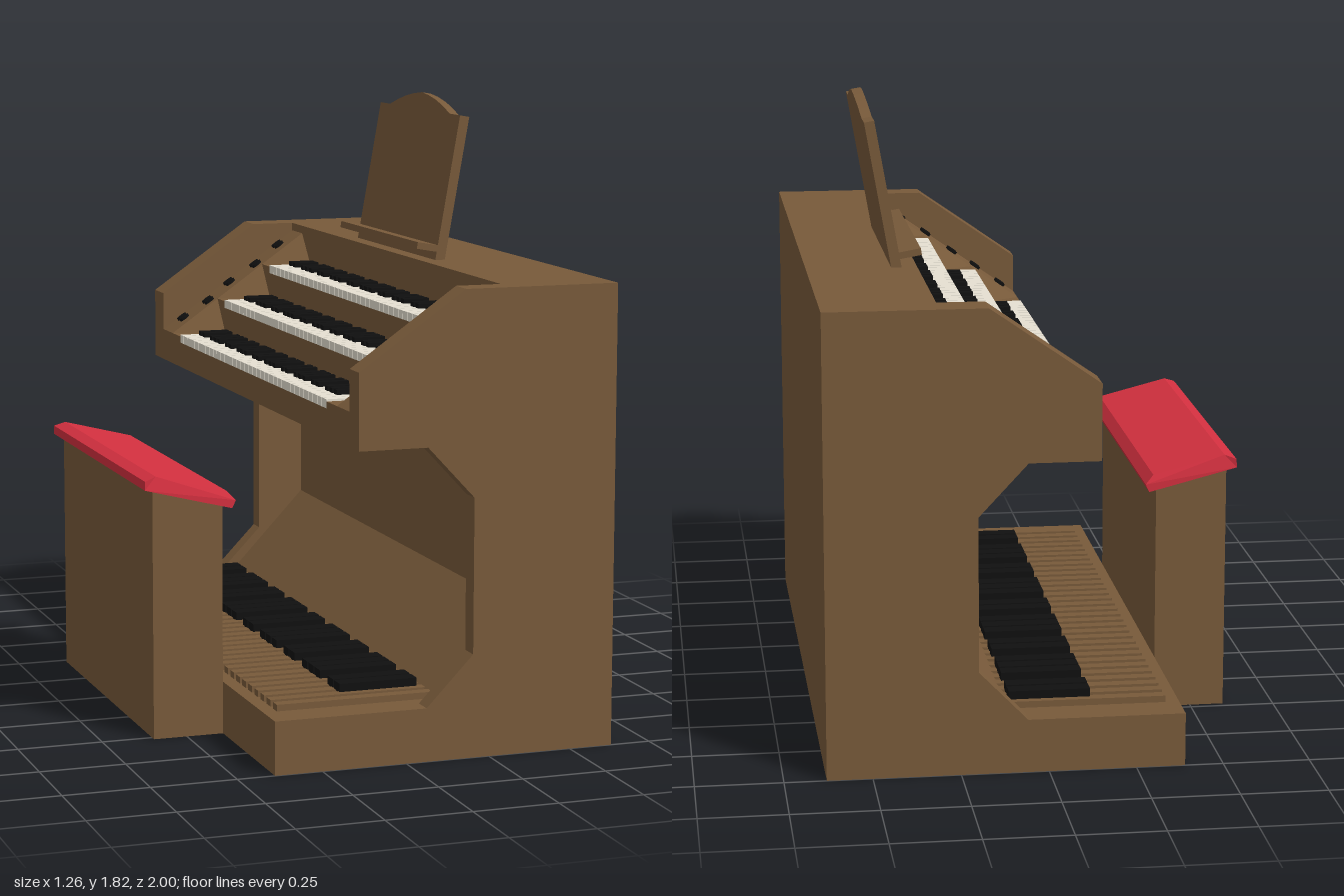
import * as THREE from 'three';
import { mergeGeometries } from 'three/addons/utils/BufferGeometryUtils.js';

const mat = (color) => new THREE.MeshStandardMaterial({ color, flatShading: true, side: THREE.DoubleSide });
const WOOD = mat(0x785a3a), RED = mat(0xd3303f), BLACK = mat(0x101010), IVORY = mat(0xe6e0d2);
const MID = 0.01; // z centre of the playing area

// Prism: an x-y profile swept from z0 to z1
function prism(points, z0, z1) {
  const shape = new THREE.Shape(points.map(([x, y]) => new THREE.Vector2(x, y)));
  return new THREE.ExtrudeGeometry(shape, { depth: z1 - z0, bevelEnabled: false }).translate(0, 0, z0);
}
// Box given by its limits
function block(x0, x1, y0, y1, z0, z1) {
  return new THREE.BoxGeometry(x1 - x0, y1 - y0, z1 - z0)
    .translate((x0 + x1) / 2, (y0 + y1) / 2, (z0 + z1) / 2);
}

export function createModel() {
  const model = new THREE.Group();
  model.name = 'organConsole';
  const add = (name, geometry, material = WOOD, parent = model) => {
    const mesh = new THREE.Mesh(geometry, material);
    mesh.name = name;
    parent.add(mesh);
    return mesh;
  };

  // End panels with the knee cut-out
  const side = [[-0.39, 0], [0.63, 0], [0.63, 1.34], [0.17, 1.34], [-0.145, 1.12], [-0.145, 0.9],
    [0.06, 0.9], [0.2, 0.75], [0.2, 0.3], [0.06, 0.155], [-0.39, 0.155]];
  add('rightEndPanel', prism(side, -1, -0.94));
  add('leftEndPanel', prism(side, 0.94, 1));

  // Case: back, knee wall and stepped bed for the three manuals
  add('case', prism([[-0.145, 0.9], [0.35, 0.9], [0.35, 0.42], [0.1, 0.155], [0.1, 0], [0.63, 0],
    [0.63, 1.34], [0.305, 1.34], [0.305, 1.2], [0.165, 1.2], [0.165, 1.09], [0.01, 1.09],
    [0.01, 0.98], [-0.145, 0.98]], -0.94, 0.94));
  add('pedalBase', block(-0.39, 0.12, 0, 0.155, -0.94, 0.94));

  // Upper cheeks thicken the ends beside the stop jambs
  const cheek = [[-0.145, 0.9], [0.305, 0.9], [0.305, 1.34], [0.17, 1.34], [-0.145, 1.12]];
  add('upperCheek', prism(cheek, -0.94, MID - 0.912));
  add('upperCheek', prism(cheek, MID + 0.912, 0.94));

  // Sloped stop jambs with paired tabs
  const steps = [-0.145, 0.01, 0.165, 0.305];
  const slopeY = (x) => 1.0 + 0.7 * (x - steps[0]);
  const jamb = [[-0.145, 0.92], [0.305, 0.92], [0.305, slopeY(0.305)], [-0.145, 1.0]];
  const tabs = [];
  for (const s of [-1, 1]) {
    const zs = [MID + s * 0.807, MID + s * 0.912];
    add('stopJamb', prism(jamb, Math.min(...zs), Math.max(...zs)));
    [-0.09, -0.01, 0.07, 0.155, 0.24].forEach((x, i) => {
      for (const dz of [-0.012, 0.012]) {
        const tab = new THREE.CylinderGeometry(0.009, 0.009, 0.012, 10);
        tab.scale(2, 1, 1).rotateZ(Math.atan(0.7))
          .translate(x, slopeY(x) + 0.004, MID + s * 0.86 + (i % 2 ? 0.012 : -0.008) + dz);
        tabs.push(tab);
      }
    });
  }
  add('stopTabs', mergeGeometries(tabs), BLACK);

  // Manuals: naturals, sharps and the folded wedges at their ends
  const naturals = [], sharps = [];
  const hasSharp = [true, true, false, true, true, true, false];
  for (let m = 0; m < 3; m++) {
    const x0 = steps[m], x1 = steps[m + 1], y = slopeY(x0);
    for (let k = 0; k < 36; k++) {
      const z = MID - 0.72 + k * 0.04;
      naturals.push(block(x0 - 0.004 * (m > 0), x1, y - 0.02, y + 0.006, z + 0.002, z + 0.038));
      if (k < 35 && hasSharp[k % 7])
        sharps.push(block(x0 + 0.055, x1 - 0.005, y, y + 0.02, z + 0.028, z + 0.052));
    }
    for (const s of [-1, 1]) {
      const a = MID + s * 0.807, b = MID + s * 0.72, yb = slopeY(x1);
      const low = [x0, y, a], high = [x1, yb, a], inner = [x1, y, b], front = [x0, y, b];
      const frontLow = [x0, y - 0.03, b], lowDown = [x0, y - 0.03, a];
      const innerLow = [x1, y - 0.03, b];
      const g = new THREE.BufferGeometry();
      g.setAttribute('position', new THREE.Float32BufferAttribute([
        low, high, inner, low, inner, front,
        low, front, frontLow, low, frontLow, lowDown,
        front, inner, innerLow, front, innerLow, frontLow].flat(), 3));
      g.computeVertexNormals();
      add('manualEndWedge', g);
      // Riser behind the wedge up to the next manual
      const r = new THREE.BufferGeometry();
      r.setAttribute('position', new THREE.Float32BufferAttribute(
        [high, [x1, yb, b], inner].flat(), 3));
      r.computeVertexNormals();
      add('manualRiser', r);
    }
  }
  add('manualNaturals', mergeGeometries(naturals), IVORY);
  add('manualSharps', mergeGeometries(sharps), BLACK);

  // Pedalboard
  const pedals = [], blackPedals = [];
  for (let i = 0; i < 32; i++) {
    const z = MID - 0.905 + i * 0.0567;
    pedals.push(block(-0.35, 0.12, 0.15, 0.174, z, z + 0.034));
    if (i < 31 && hasSharp[i % 7])
      blackPedals.push(block(-0.135, 0.1, 0.172, 0.198, z + 0.022, z + 0.068));
  }
  add('pedals', mergeGeometries(pedals));
  add('blackPedals', mergeGeometries(blackPedals), BLACK);

  // Music desk: leaning board with a curved top, and a ledge
  const board = new THREE.Shape();
  board.moveTo(-0.34, 0);
  board.lineTo(0.34, 0);
  board.lineTo(0.34, 0.443);
  board.lineTo(0.255, 0.443);
  board.quadraticCurveTo(0.13, 0.485, 0, 0.494);
  board.quadraticCurveTo(-0.13, 0.485, -0.255, 0.443);
  board.lineTo(-0.34, 0.443);
  const desk = new THREE.Group();
  desk.name = 'musicDesk';
  desk.position.set(0.35, 1.335, -0.04);
  desk.rotation.z = -0.175;
  const boardGeometry = new THREE.ExtrudeGeometry(board, { depth: 0.03, bevelEnabled: false, curveSegments: 4 });
  add('deskBoard', boardGeometry.rotateY(Math.PI / 2), WOOD, desk);
  add('deskLedge', block(-0.065, 0.01, 0.03, 0.05, -0.34, 0.34), WOOD, desk);
  model.add(desk);

  // Bench with a tilted, chamfered cushion
  add('benchBody', prism([[-0.6, 0], [-0.39, 0], [-0.39, 0.69], [-0.6, 0.745]], -0.48, 0.52));
  const seat = prism([[-0.135, -0.02], [0.135, -0.02], [0.14, 0.005], [0.11, 0.025],
    [-0.11, 0.025], [-0.14, 0.005]], -0.52, 0.52);
  const p = seat.attributes.position;
  for (let i = 0; i < p.count; i++) if (p.getY(i) > 0.02) p.setZ(i, p.getZ(i) * 0.98);
  seat.computeVertexNormals();
  const cushion = add('benchCushion', seat, RED);
  cushion.position.set(-0.492, 0.724, 0.02);
  cushion.rotation.z = -0.25;

  return model;
}
